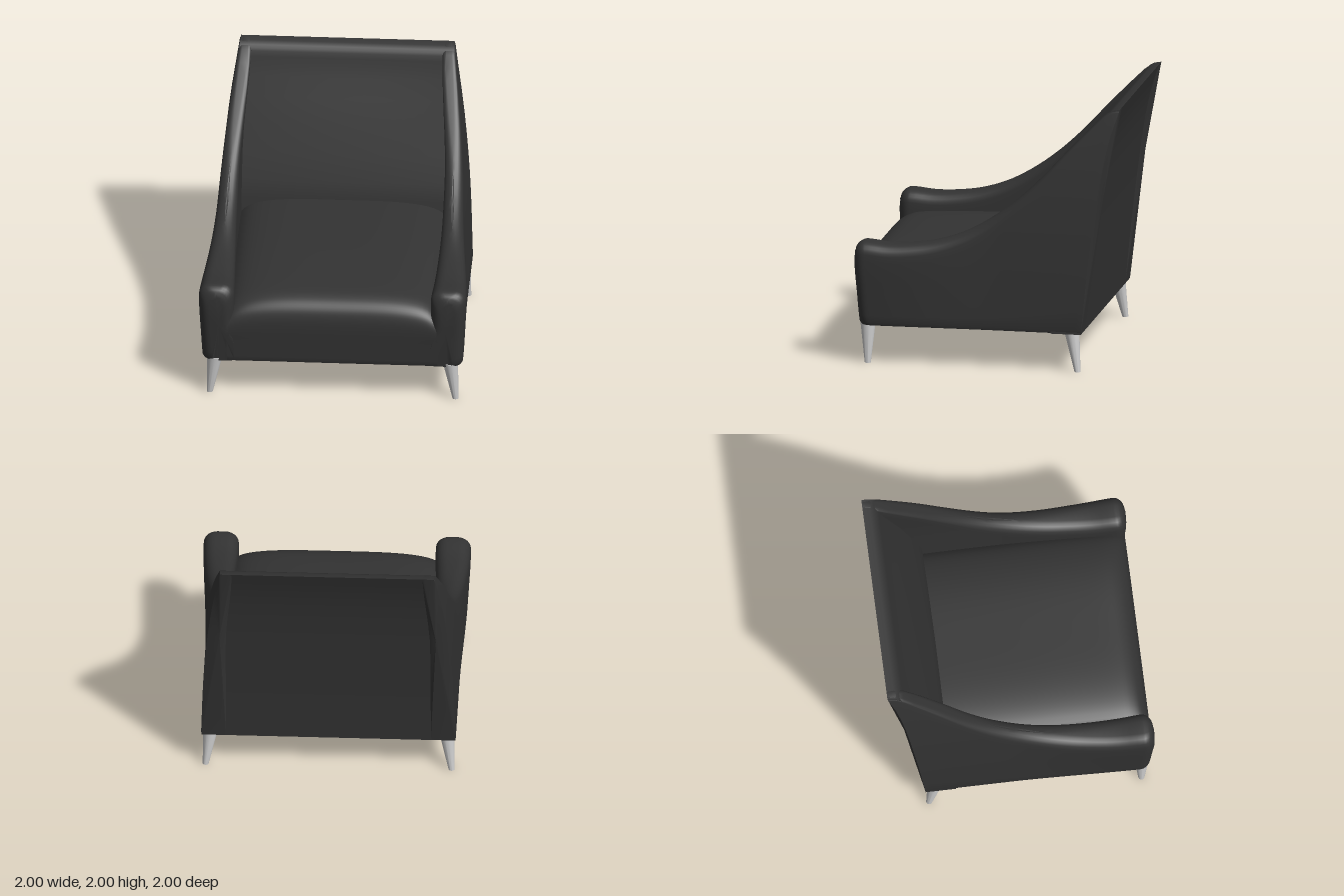
import * as THREE from 'three';
import { toCreasedNormals } from 'three/addons/utils/BufferGeometryUtils.js';

const lerp = THREE.MathUtils.lerp;
const smooth = THREE.MathUtils.smoothstep;
const BASE = 0.29;

// Smooth function through [input, value] points, inputs ascending
function curve(p) {
  const slope = (i) => {
    const a = p[Math.max(i - 1, 0)], b = p[Math.min(i + 1, p.length - 1)];
    return (b[1] - a[1]) / (b[0] - a[0]);
  };
  return (x) => {
    if (x <= p[0][0]) return p[0][1];
    if (x >= p[p.length - 1][0]) return p[p.length - 1][1];
    let i = 0;
    while (x > p[i + 1][0]) i++;
    const h = p[i + 1][0] - p[i][0], t = (x - p[i][0]) / h, t2 = t * t, t3 = t2 * t;
    return (2 * t3 - 3 * t2 + 1) * p[i][1] + (t3 - 2 * t2 + t) * h * slope(i)
      + (3 * t2 - 2 * t3) * p[i + 1][1] + (t3 - t2) * h * slope(i + 1);
  };
}

// Capped skin over equal-length closed rings of [x, y, z]
function loft(rings, crease = 0.7) {
  const n = rings[0].length, pos = rings.flat(2), idx = [];
  const last = rings.length - 1;
  for (let r = 0; r < last; r++) {
    for (let i = 0; i < n; i++) {
      const a = r * n + i, b = r * n + (i + 1) % n;
      idx.push(a, b, a + n, b, b + n, a + n);
    }
  }
  for (const r of [0, last]) {
    const c = pos.length / 3;
    for (let k = 0; k < 3; k++) pos.push(rings[r].reduce((s, v) => s + v[k], 0) / n);
    for (let i = 0; i < n; i++) {
      const a = r * n + i, b = r * n + (i + 1) % n;
      if (r === 0) idx.push(c, b, a); else idx.push(c, a, b);
    }
  }
  // Turn the faces outward if the enclosed volume is negative
  const at = (i) => new THREE.Vector3().fromArray(pos, i * 3);
  let volume = 0;
  for (let i = 0; i < idx.length; i += 3) {
    volume += at(idx[i]).dot(at(idx[i + 1]).cross(at(idx[i + 2])));
  }
  if (volume < 0) idx.reverse();
  const g = new THREE.BufferGeometry();
  g.setAttribute('position', new THREE.Float32BufferAttribute(pos, 3));
  g.setIndex(idx);
  return toCreasedNormals(g, crease);
}

// Shared outlines: front and rear edge, arm crest, and outer width
const frontZ = curve([[0.29, 0.95], [0.32, 0.965], [0.55, 0.985], [0.75, 1], [1, 1]]);
const rearZ = curve([[0.29, -0.73], [0.8, -0.78], [1.25, -0.835], [1.55, -0.88], [1.8, -0.935], [2, -1]]);
const crestY = curve([[-1, 2], [-0.95, 1.993], [-0.9, 1.965], [-0.8, 1.87], [-0.6, 1.665], [-0.4, 1.45],
  [-0.2, 1.265], [0, 1.12], [0.2, 1.015], [0.4, 0.95], [0.6, 0.92], [0.75, 0.914], [0.92, 0.928],
  [0.96, 0.918], [0.99, 0.89], [1, 0.85]]);
const rearX = curve([[0.29, 0.955], [0.95, 0.93], [1.5, 0.88], [2, 0.805]]);
const frontX = curve([[0.29, 0.975], [0.55, 0.99], [0.75, 1], [1, 1]]);
const innerX = curve([[-1, 0.765], [0, 0.772], [0.5, 0.755], [0.9, 0.738], [1, 0.74]]);

function armRing(t, side) {
  let top = 1;
  for (let i = 0; i < 30; i++) top = crestY(lerp(frontZ(top), rearZ(top), t));
  const r = lerp(0.085, 0.025, smooth(t, 0.5, 1));
  const half = [[0.03, BASE], [0.008, BASE + 0.006], [0, BASE + 0.03]];
  for (let k = 1; k <= 10; k++) half.push([0, lerp(BASE + 0.03, top - r, k / 10)]);
  for (let k = 1; k <= 6; k++) {
    const a = k / 6 * Math.PI / 2;
    half.push([r * (1 - Math.cos(a)), top - r + r * Math.sin(a)]);
  }
  // Rounded nose at the front end
  const d = Math.min(t * 1.7 / 0.08, 1);
  const nose = 0.08 * (1 - Math.sqrt(1 - (1 - d) ** 2));
  const zAt = (y) => lerp(frontZ(y), rearZ(y), t);
  const outer = half.map(([inset, y]) => {
    const z = zAt(y);
    const x = lerp(rearX(y), frontX(y), smooth(z, -0.1, 0.95));
    return [side * (x - inset - nose), y, z];
  });
  const inner = half.map(([inset, y]) => {
    const x = innerX(zAt(y)) - 0.05 * smooth(y, 1.2, 2);
    return [side * (x + inset + nose * smooth(y, 0.45, 0.65)), y, zAt(y)];
  });
  return [...outer, ...inner.reverse()];
}

function armGeometry(side) {
  const ts = [0, 0.002, 0.006, 0.012, 0.02, 0.03, 0.04, 0.05];
  for (let k = 1; k <= 36; k++) ts.push(lerp(0.05, 1, k / 36));
  return loft(ts.map((t) => armRing(t, side)));
}

// Crowned seat, falling away towards the arms
function seatGeometry() {
  const top = new THREE.SplineCurve([[0.965, 0.32], [0.975, 0.45], [0.985, 0.58], [0.98, 0.68], [0.95, 0.76],
    [0.88, 0.815], [0.75, 0.845], [0.4, 0.863], [0, 0.87], [-0.55, 0.868], [-0.7, 0.86]]
    .map((p) => new THREE.Vector2(...p))).getPoints(44).map((p) => [p.x, p.y]);
  const profile = [[-0.7, BASE], [0.935, BASE], [0.957, BASE + 0.008], ...top];
  const rings = [];
  for (let k = 0; k <= 40; k++) {
    const u = k / 20 - 1;
    const drop = 0.09 * u ** 4 + 0.05 * u ** 16;
    rings.push(profile.map(([z, y]) => [0.79 * u, y - drop * Math.max(0, (y - 0.5) / 0.37), z]));
  }
  return loft(rings);
}

// Reclined back, slightly padded in the middle
function backGeometry() {
  const rear = [], front = [];
  for (let k = 0; k <= 16; k++) {
    const y = lerp(BASE, 2, k / 16);
    rear.push([rearZ(y), y, 0]);
  }
  const pad = curve([[0.29, -0.5], [0.86, -0.555], [1.2, -0.655], [1.6, -0.782], [1.85, -0.862],
    [1.93, -0.885], [1.97, -0.91], [1.99, -0.945]]);
  for (const y of [1.99, 1.97, 1.95, 1.93, 1.89, 1.85, 1.75, 1.6, 1.4, 1.2, 1, 0.86, 0.6, BASE]) {
    front.push([pad(y), y, 0.02 * smooth(y, 0.5, 0.9) * (1 - smooth(y, 1.3, 1.9))]);
  }
  const rings = [];
  for (let k = 0; k <= 24; k++) {
    const u = k / 12 - 1;
    rings.push([...rear, ...front].map(([z, y, bulge]) =>
      [u * (rearX(y) - 0.004), y, z + bulge * (1 - u * u)]));
  }
  return loft(rings);
}

// Tapered leg whose foot is shifted by (dx, dz)
function legGeometry(dx, dz) {
  const g = new THREE.CylinderGeometry(0.058, 0.023, 0.31, 24);
  g.translate(0, 0.155, 0);
  const p = g.attributes.position;
  for (let i = 0; i < p.count; i++) {
    const f = 1 - p.getY(i) / 0.3;
    p.setX(i, p.getX(i) + dx * f);
    p.setZ(i, p.getZ(i) + dz * f);
  }
  g.computeVertexNormals();
  return toCreasedNormals(g, 0.7);
}

export function createModel() {
  const model = new THREE.Group();
  model.name = 'armchair';
  const fabric = new THREE.MeshStandardMaterial({ color: 0x333333 });
  const metal = new THREE.MeshStandardMaterial({ color: 0xcccccc });
  const add = (name, geometry, material) => {
    const mesh = new THREE.Mesh(geometry, material);
    mesh.name = name;
    model.add(mesh);
    return mesh;
  };
  add('seat', seatGeometry(), fabric);
  add('back', backGeometry(), fabric);
  for (const [side, label] of [[1, 'left'], [-1, 'right']]) {
    add(label + 'Arm', armGeometry(side), fabric);
    add(label + 'FrontLeg', legGeometry(side * 0.037, -0.005), metal).position.set(side * 0.884, 0, 0.905);
    add(label + 'BackLeg', legGeometry(side * 0.037, -0.05), metal).position.set(side * 0.884, 0, -0.65);
  }
  return model;
}
